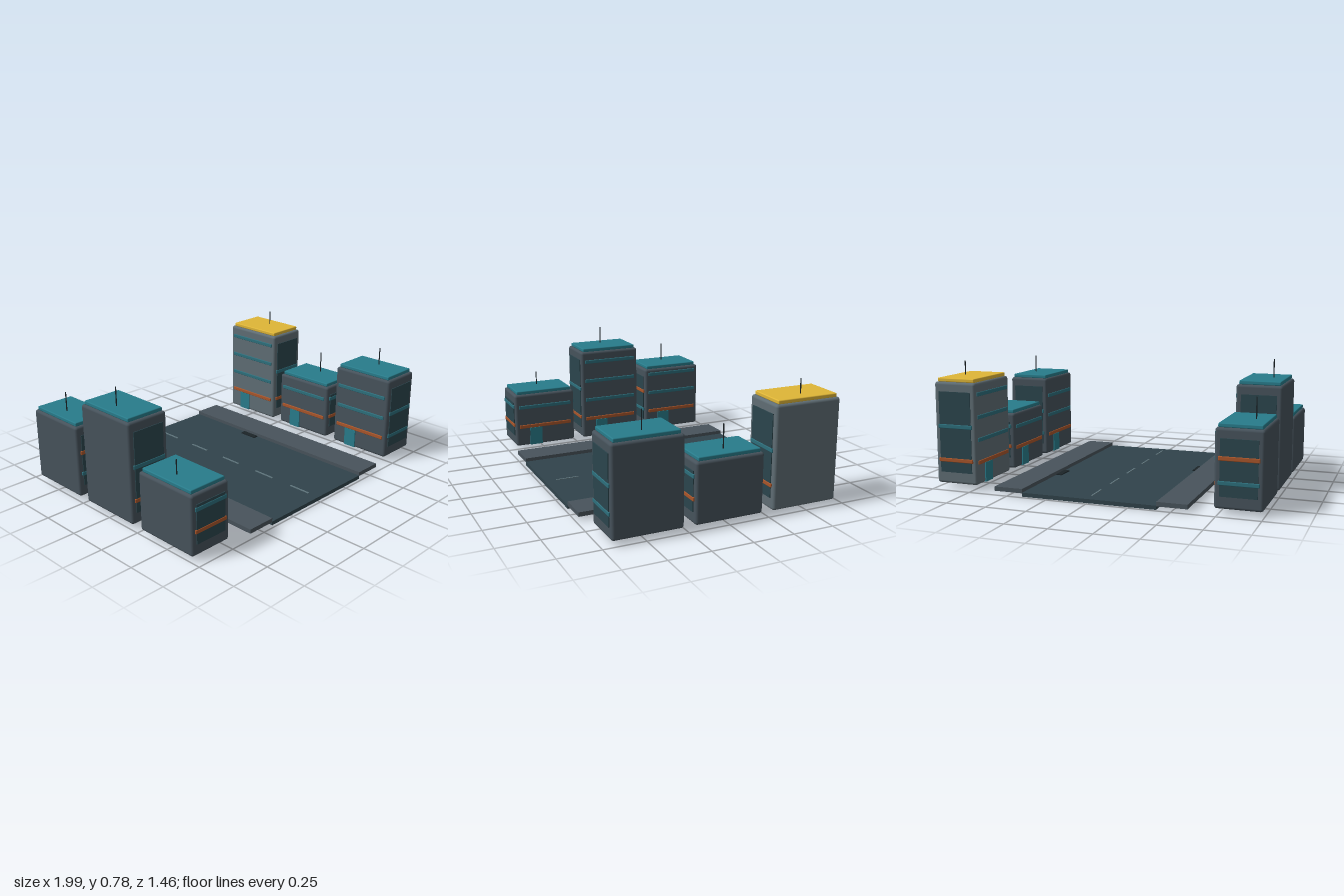
import * as THREE from 'three';
import { RoundedBoxGeometry } from 'three/addons/geometries/RoundedBoxGeometry.js';

const mat = (color) => new THREE.MeshStandardMaterial({ color });
const M = {
  wall: mat(0x46525b), paleWall: mat(0x5f6d74), glass: mat(0x2b454d),
  teal: mat(0x287c8b), band: mat(0x2d6f7c), orange: mat(0xa8552a),
  yellow: mat(0xdfb637), road: mat(0x30434b), pavement: mat(0x48535b),
  dark: mat(0x1c2428), paint: mat(0x5f757d),
};

// Box given by centre and size; a radius rounds its edges
function box(parent, name, material, size, pos, radius = 0) {
  const geo = radius ? new RoundedBoxGeometry(...size, 3, radius) : new THREE.BoxGeometry(...size);
  const mesh = new THREE.Mesh(geo, material);
  mesh.name = name;
  mesh.position.set(...pos);
  parent.add(mesh);
  return mesh;
}

const BASE = 0.03, W = 0.272, D = 0.42;

// Building with its street side on local +x
function building({ top, mast, upper, low = M.orange, high = M.band, roof = M.teal, wall = M.wall }) {
  const g = new THREE.Group();
  box(g, 'walls', wall, [W, top - BASE, D], [0, (top + BASE) / 2, 0], 0.016);
  box(g, 'roofSlab', roof, [0.245, 0.024, 0.385], [0, top + 0.011, 0], 0.006);

  // Mast on the roof
  const length = mast - top;
  const pole = new THREE.Mesh(new THREE.CylinderGeometry(0.0035, 0.0035, length, 8), M.dark);
  pole.name = 'mast';
  pole.position.set(-0.045, top + length / 2, 0);
  g.add(pole);

  // Glazed panel and two bands on both end walls
  const panelTop = top - 0.056;
  for (const s of [-1, 1]) {
    box(g, 'endGlazing', M.glass, [0.21, panelTop - 0.1, 0.01], [0, (panelTop + 0.1) / 2, s * D / 2]);
    box(g, 'lowerEndBand', low, [0.228, 0.025, 0.016], [0, 0.175, s * D / 2], 0.005);
    box(g, 'upperEndBand', high, [0.228, 0.026, 0.016], [0, upper, s * D / 2], 0.005);
  }

  // Street side: one band per storey and a door
  for (let y = 0.165, i = 0; y < top - 0.03; y += 0.137, i++) {
    box(g, 'storeyBand', i ? M.band : M.orange, [0.012, 0.024, 0.37], [W / 2, y, 0], 0.004);
  }
  box(g, 'door', M.teal, [0.014, 0.12, 0.085], [W / 2, BASE + 0.063, 0.07]);
  return g;
}

export function createModel() {
  const model = new THREE.Group();
  model.name = 'streetBlock';

  // Road and raised pavements
  const street = new THREE.Group();
  street.name = 'street';
  model.add(street);
  box(street, 'road', M.road, [0.82, 0.024, 1.46], [0, 0.012, 0]);
  for (const s of [-1, 1]) {
    box(street, 'pavement', M.pavement, [0.18, 0.026, 1.46], [s * 0.5, 0.033, 0]);
    box(street, 'drain', M.dark, [0.035, 0.008, 0.12], [s * 0.39, 0.026, s * -0.2]);
  }
  for (let i = -2; i <= 2; i++) {
    box(street, 'laneDash', M.paint, [0.01, 0.006, 0.145], [0, 0.025, i * 0.293]);
  }

  // Two rows of buildings facing the road, listed from front to back
  const rows = {
    '-1': [
      { top: 0.39, mast: 0.5, upper: 0.305 },
      { top: 0.645, mast: 0.78, upper: 0.38 },
      { top: 0.475, mast: 0.62, upper: 0.31, low: M.band, high: M.orange },
    ],
    '1': [
      { top: 0.56, mast: 0.695, upper: 0.33, low: M.band },
      { top: 0.39, mast: 0.555, upper: 0.305 },
      { top: 0.645, mast: 0.755, upper: 0.38, roof: M.yellow, wall: M.paleWall },
    ],
  };
  for (const side of [-1, 1]) {
    rows[side].forEach((spec, i) => {
      const b = building(spec);
      b.name = side < 0 ? 'rightBuilding' : 'leftBuilding';
      b.position.set(side * 0.861, 0, (1 - i) * 0.487);
      if (side > 0) b.rotation.y = Math.PI;
      model.add(b);
    });
  }
  return model;
}
